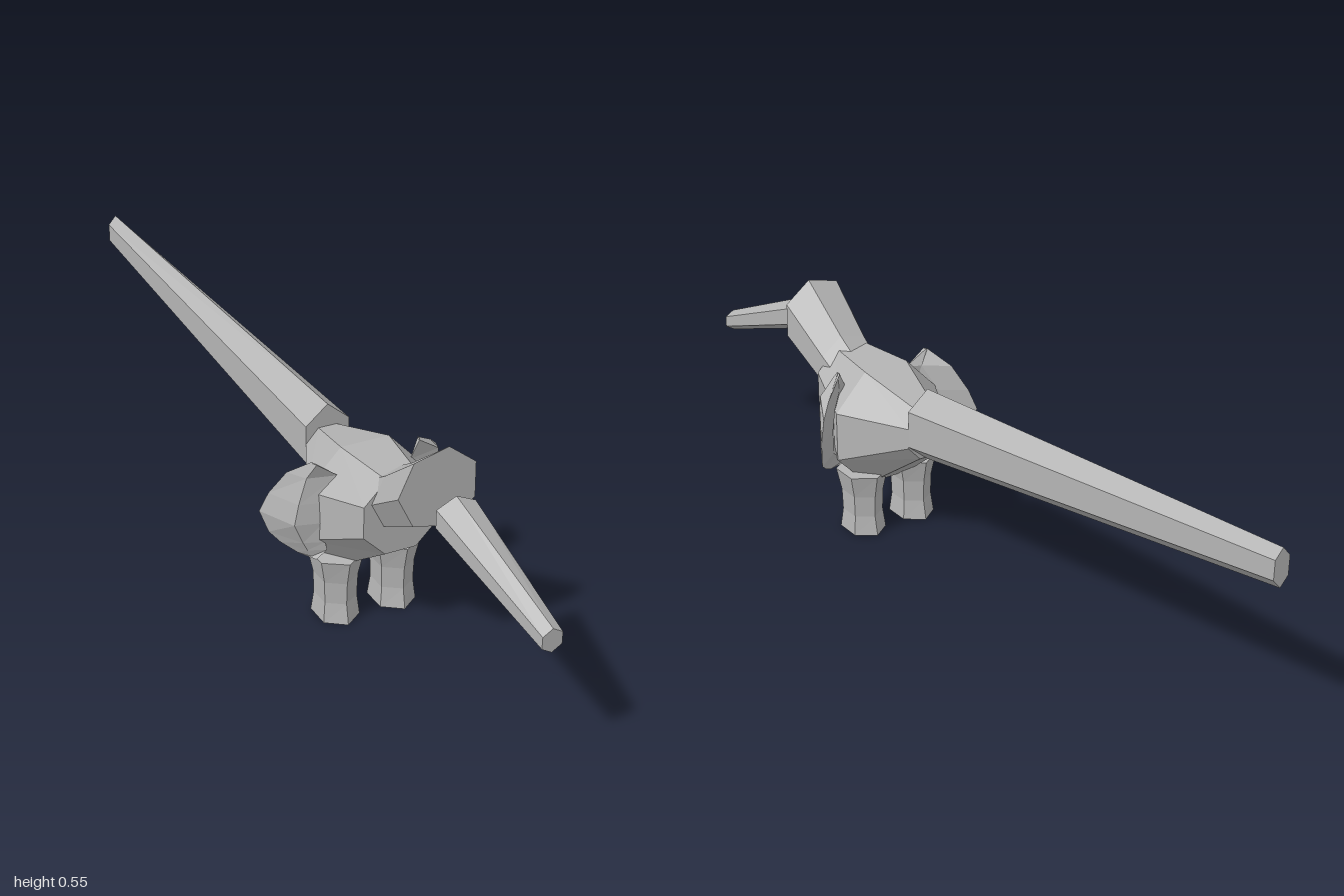
import * as THREE from 'three';

const grey = new THREE.MeshStandardMaterial({ color: 0xb4b4b4, flatShading: true });
grey.name = 'grey';

const V = (x, y, z) => new THREE.Vector3(x, y, z);

// Closed solid through a list of rings with equal point counts, capped at both ends
function loft(name, rings) {
  const tris = [];
  const n = rings[0].length;
  for (let r = 0; r < rings.length - 1; r++) {
    for (let i = 0; i < n; i++) {
      const j = (i + 1) % n;
      const [a, b, c, d] = [rings[r][i], rings[r][j], rings[r + 1][j], rings[r + 1][i]];
      tris.push([a, b, c], [a, c, d]);
    }
  }
  const cap = (ring, flip) => {
    for (let i = 1; i < n - 1; i++) {
      tris.push(flip ? [ring[0], ring[i + 1], ring[i]] : [ring[0], ring[i], ring[i + 1]]);
    }
  };
  cap(rings[0], true);
  cap(rings[rings.length - 1], false);
  // Turn the faces outward whatever the ring direction
  const middle = rings.flat().reduce((s, p) => s.add(p), V(0, 0, 0)).divideScalar(n * rings.length);
  let volume = 0;
  for (const [a, b, c] of tris) {
    volume += a.clone().sub(middle).dot(b.clone().sub(middle).cross(c.clone().sub(middle)));
  }
  const points = tris.flatMap(([a, b, c]) => (volume < 0 ? [a, c, b] : [a, b, c]));
  const geometry = new THREE.BufferGeometry().setFromPoints(points);
  geometry.computeVertexNormals();
  const mesh = new THREE.Mesh(geometry, grey);
  mesh.name = name;
  return mesh;
}

// Upright polygon facing z
function ringZ(sides, phase, x, y, z, rx, ry) {
  return Array.from({ length: sides }, (_, i) => {
    const a = THREE.MathUtils.degToRad(phase) + (i * 2 * Math.PI) / sides;
    return V(x + rx * Math.cos(a), y + ry * Math.sin(a), z);
  });
}

// Level hexagon with corners towards front and back
function ringY(x, y, z, rx, rz) {
  return Array.from({ length: 6 }, (_, i) => {
    const a = (i * Math.PI) / 3;
    return V(x + rx * Math.sin(a), y, z + rz * Math.cos(a));
  });
}

// Ear: four-cornered sections [y, inner x, front ridge x, outer rim x, outer rim z]
function ear(name, side, sections) {
  return loft(name, sections.map(([y, inner, ridge, rim, rimZ]) => [
    V(side * inner, y, 0.345),
    V(side * ridge, y, 0.328),
    V(side * rim, y, rimZ),
    V(side * Math.max(inner, rim - 0.06), y, Math.min(0.335, rimZ + 0.045)),
  ]));
}

export function createModel() {
  const model = new THREE.Group();
  model.name = 'creature';

  // Octagonal body, widest over the legs
  model.add(loft('body', [
    ringZ(8, 22.5, 0, 0.312, 0.12, 0.06, 0.067),
    ringZ(8, 22.5, 0, 0.27, 0.3, 0.157, 0.165),
    ringZ(8, 22.5, 0, 0.328, 0.47, 0.1, 0.1),
  ]));

  // Seven-sided head, rising forward
  model.add(loft('head', [
    ringZ(7, 26.6, 0.004, 0.33, 0.4, 0.075, 0.075),
    ringZ(7, 26.6, 0.006, 0.37, 0.47, 0.08, 0.08),
    ringZ(7, 26.6, 0.008, 0.46, 0.608, 0.097, 0.097),
  ]));

  // Trunk, standing free ahead of the head
  model.add(loft('trunk', [
    ringZ(6, 30, 0.007, 0.437, 0.678, 0.0535, 0.043),
    ringZ(6, 30, 0.04, 0.315, 1, 0.027, 0.028),
  ]));

  // Long tapering tail
  model.add(loft('tail', [
    ringZ(6, 30, 0, 0.337, 0.12, 0.064, 0.093),
    ringZ(6, 30, -0.072, 0.451, -1, 0.023, 0.046),
  ]));

  // Two waisted legs: [height, half width, half depth]
  for (const side of [1, -1]) {
    const profile = [[0, 0.053, 0.066], [0.05, 0.047, 0.056], [0.105, 0.049, 0.058], [0.163, 0.062, 0.07]];
    model.add(loft(side > 0 ? 'leftLeg' : 'rightLeg',
      profile.map(([y, rx, rz]) => ringY(side * 0.073, y, 0.305, rx, rz))));
  }

  // Swept-back ears
  model.add(ear('leftEar', 1, [
    [0.42, 0.112, 0.115, 0.117, 0.335],
    [0.377, 0.09, 0.172, 0.176, 0.285],
    [0.348, 0.11, 0.175, 0.206, 0.258],
    [0.3, 0.125, 0.176, 0.227, 0.237],
    [0.24, 0.125, 0.176, 0.227, 0.237],
    [0.218, 0.12, 0.172, 0.204, 0.26],
    [0.198, 0.108, 0.16, 0.175, 0.285],
    [0.18, 0.112, 0.114, 0.118, 0.325],
  ]));
  model.add(ear('rightEar', -1, [
    [0.42, 0.142, 0.145, 0.147, 0.335],
    [0.382, 0.09, 0.158, 0.184, 0.283],
    [0.32, 0.115, 0.177, 0.213, 0.25],
    [0.27, 0.125, 0.187, 0.229, 0.235],
    [0.22, 0.12, 0.166, 0.213, 0.25],
    [0.198, 0.115, 0.155, 0.193, 0.27],
    [0.18, 0.142, 0.145, 0.165, 0.3],
  ]));

  return model;
}
